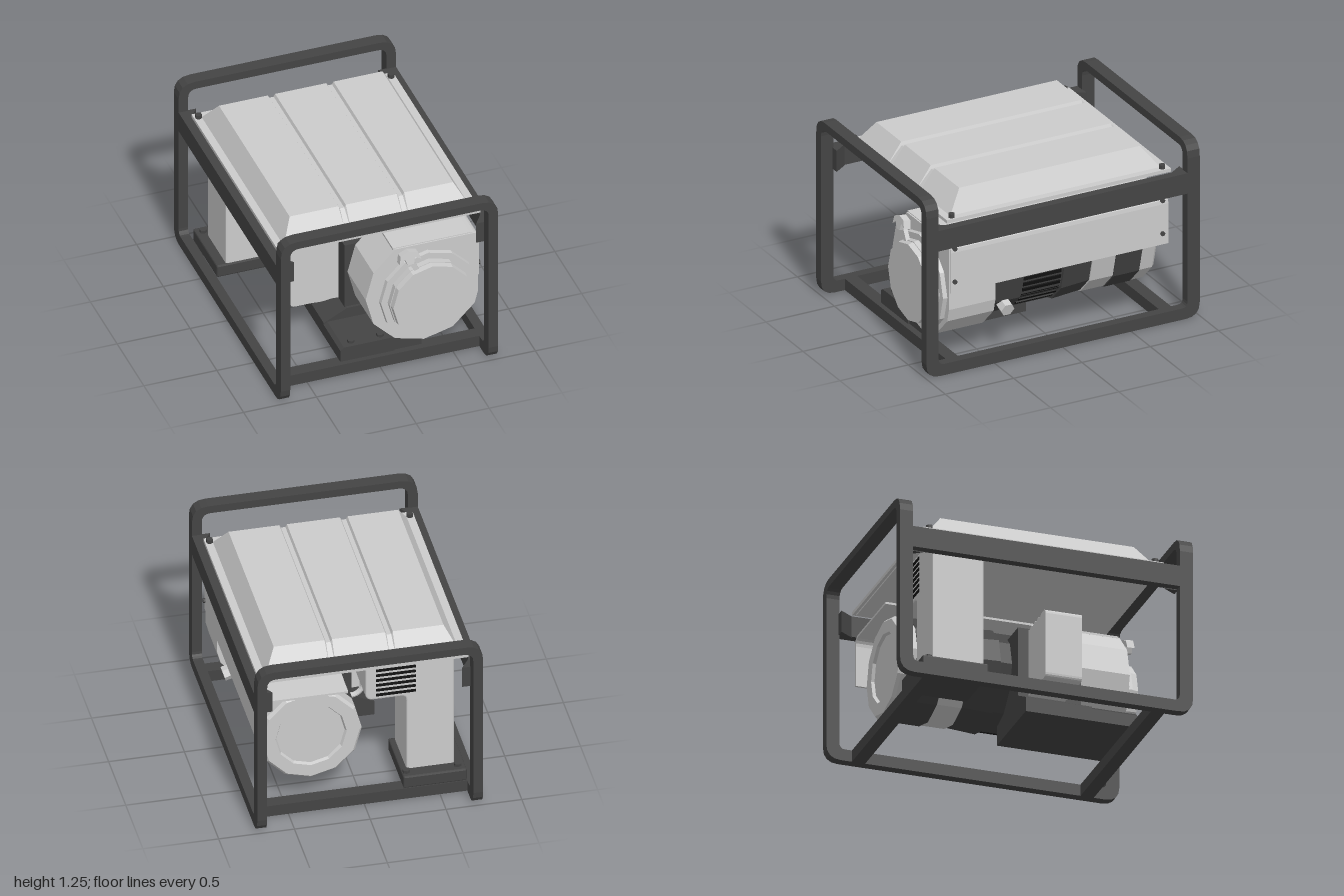
import * as THREE from 'three';
import { RoundedBoxGeometry } from 'three/addons/geometries/RoundedBoxGeometry.js';

const mat = (color) => new THREE.MeshStandardMaterial({ color, flatShading: true, side: THREE.DoubleSide });

export function createModel() {
  const model = new THREE.Group();
  const grey = mat(0xcccccc), dark = mat(0x444444), black = mat(0x111111);

  const add = (name, geo, material, x = 0, y = 0, z = 0) => {
    const mesh = new THREE.Mesh(geo, material);
    mesh.name = name;
    mesh.position.set(x, y, z);
    model.add(mesh);
    return mesh;
  };
  // Box given by its limits on each axis
  const box = (name, material, x0, x1, y0, y1, z0, z1) =>
    add(name, new THREE.BoxGeometry(x1 - x0, y1 - y0, z1 - z0), material, (x0 + x1) / 2, (y0 + y1) / 2, (z0 + z1) / 2);
  // Polygon whose corners [x, y, radius] may be rounded
  const poly = (pts) => {
    const s = new THREE.Shape();
    pts.forEach(([x, y, r = 0], i) => {
      const p = new THREE.Vector2(x, y);
      const toward = (q) => new THREE.Vector2(q[0], q[1]).sub(p).setLength(r).add(p);
      const a = toward(pts[(i + pts.length - 1) % pts.length]);
      const b = toward(pts[(i + 1) % pts.length]);
      if (i === 0) s.moveTo(a.x, a.y); else s.lineTo(a.x, a.y);
      if (r) s.quadraticCurveTo(x, y, b.x, b.y);
    });
    s.closePath();
    return s;
  };
  const slab = (pts, depth, curveSegments = 4) =>
    new THREE.ExtrudeGeometry(poly(pts), { depth, bevelEnabled: false, curveSegments });
  // Twelve-sided drum along z, with a corner at the bottom
  const drum = (name, material, x, y, z0, z1, r0, r1 = r0) => {
    const g = new THREE.CylinderGeometry(r1, r0, z1 - z0, 12);
    g.rotateX(Math.PI / 2);
    return add(name, g, material, x, y, (z0 + z1) / 2);
  };
  const bolt = (name, x, y, z, axis = 'y', r = 0.02, h = 0.025, material = dark) => {
    const m = add(name, new THREE.CylinderGeometry(r, r, h, 6), material, x, y, z);
    if (axis === 'x') m.rotation.z = Math.PI / 2;
    return m;
  };

  // Tubular frame: end hoops and side runners
  const hoop = slab([[-0.745, 0.1], [-0.745, 1.25, 0.11], [0.745, 1.25, 0.11], [0.745, 0.1],
    [0.68, 0.1], [0.68, 1.195, 0.06], [-0.68, 1.195, 0.06], [-0.68, 0.1]], 0.09);
  add('frontHoop', hoop, dark, 0, 0, 0.91);
  add('backHoop', hoop, dark, 0, 0, -1);
  const runner = slab([[-1, 0.15], [-1, 0, 0.1], [1, 0, 0.1], [1, 0.15],
    [0.91, 0.15], [0.91, 0.08, 0.04], [-0.91, 0.08, 0.04], [-0.91, 0.15]], 0.065);
  runner.rotateY(-Math.PI / 2);
  for (const s of [-1, 1]) {
    add('sideRunner', runner, dark, s > 0 ? 0.745 : -0.68);
    box('upperRail', dark, s * 0.715 - 0.03, s * 0.715 + 0.03, 0.89, 1.035, -0.92, 0.92);
    box('crossBar', dark, -0.69, 0.69, 0, 0.08, s * 0.78 - 0.045, s * 0.78 + 0.045);
    for (const t of [-1, 1]) {
      const gusset = slab([[s * 0.69, t * 0.82], [s * 0.69, t * 0.915], [s * 0.625, t * 0.915]], 0.15);
      gusset.rotateX(Math.PI / 2);
      add('gusset', gusset, dark, 0, 1.035, 0);
      bolt('tankBolt', s * 0.66, 1.08, t * 0.77, 'y', 0.023, 0.03);
    }
  }

  // Fuel tank: flange plate and sloped top with two grooves
  box('tankFlangeLower', grey, -0.67, 0.67, 1.035, 1.05, -0.8, 0.8);
  box('tankFlange', grey, -0.69, 0.69, 1.045, 1.068, -0.82, 0.82);
  const across = [[-0.56, 1.21], [-0.225, 1.21], [-0.215, 1.19], [-0.185, 1.19], [-0.175, 1.21],
    [0.175, 1.21], [0.185, 1.19], [0.215, 1.19], [0.225, 1.21], [0.56, 1.21]];
  const rows = [0.77, 0.66, -0.66, -0.77].map((z, i) => {
    const low = i === 0 || i === 3;
    const mid = across.map(([x, y]) => [low && Math.abs(x) > 0.5 ? Math.sign(x) * 0.64 : x, low ? 1.066 : y, z]);
    return [[-0.64, 1.066, z], ...mid, [0.64, 1.066, z]];
  });
  const verts = [];
  for (let i = 0; i < 3; i++) for (let j = 0; j < 11; j++) {
    const a = rows[i][j], b = rows[i][j + 1], c = rows[i + 1][j + 1], d = rows[i + 1][j];
    verts.push(...a, ...b, ...d, ...b, ...c, ...d);
  }
  const tankGeo = new THREE.BufferGeometry();
  tankGeo.setAttribute('position', new THREE.Float32BufferAttribute(verts, 3));
  tankGeo.computeVertexNormals();
  add('tankTop', tankGeo, grey);

  // Fan housing: twelve-sided scroll squared off at the upper outside
  const scroll = [[0.68, 0.42], [0.68, 0.88, 0.03], [0.11, 0.88]];
  for (let k = 5; k <= 11; k++) {
    const a = k * Math.PI / 6;
    scroll.push([0.31 + 0.4 * Math.cos(a), 0.53 + 0.4 * Math.sin(a)]);
  }
  add('fanHousing', slab(scroll, 0.34), grey, 0, 0, 0.46);
  drum('starterRing', grey, 0.33, 0.497, 0.79, 0.83, 0.33, 0.325);
  drum('starterCap', grey, 0.33, 0.497, 0.82, 0.87, 0.28);
  drum('starterFace', grey, 0.33, 0.497, 0.87, 0.91, 0.275, 0.27);

  // Pull starter grip and its stem
  const grip = add('starterGrip', slab([[-0.075, -0.01], [-0.06, 0.045], [0, 0.065], [0.06, 0.045], [0.075, -0.01],
    [0.035, 0.015], [0.02, -0.03], [-0.02, -0.03], [-0.035, 0.015]], 0.05), grey, 0.18, 0.835, 0.85);
  grip.rotation.z = 0.4 - 0.3;
  grip.rotation.x = -0.15;
  const stem = add('gripStem', new THREE.BoxGeometry(0.035, 0.14, 0.03), grey, 0.215, 0.775, 0.865);
  stem.rotation.z = 0.5;

  // Side cover: bent sheet running the length of the machine
  add('sideCover', slab([[0.69, 0.54], [0.69, 0.885, 0.06], [0.1, 0.885], [0.1, 0.87],
    [0.675, 0.87, 0.05], [0.675, 0.54]], 1.59), grey, 0, 0, -0.8);
  for (const y of [0.62, 0.855]) for (const z of [0.765, -0.755]) bolt('coverBolt', 0.695, y, z, 'x', 0.016, 0.02);

  // Alternator body in bands
  const cx = 0.33, cy = 0.53;
  drum('crankcaseDrum', dark, cx, cy, 0.25, 0.46, 0.335);
  drum('ventedDrum', dark, cx, cy, -0.05, 0.25, 0.325);
  drum('rearBell', dark, cx, cy, -0.27, -0.05, 0.325, 0.34);
  drum('statorBand', grey, cx, cy, -0.44, -0.26, 0.335);
  drum('darkBand', dark, cx, cy, -0.62, -0.43, 0.342);
  // End cap, turned with a recessed centre
  const capGeo = new THREE.LatheGeometry([[0, 0.02], [0.225, 0.02], [0.235, 0], [0.32, 0], [0.338, 0.02], [0.338, 0.12]]
    .map(([r, h]) => new THREE.Vector2(r, h)), 12);
  capGeo.rotateX(Math.PI / 2);
  add('endCap', capGeo, grey, cx, cy, -0.735);
  for (let i = 0; i < 7; i++) {
    const a = Math.asin((0.225 + i * 0.046 - cy) / 0.335);
    const slot = add('drumSlot', new THREE.BoxGeometry(0.02, 0.024, 0.275), black,
      cx + 0.314 * Math.cos(a), cy + 0.314 * Math.sin(a), 0.098);
    slot.rotation.z = a;
  }
  const plug = bolt('oilPlug', 0.63, 0.325, 0.36, 'x', 0.048, 0.07, grey);
  plug.rotation.z = Math.PI / 2 - 0.3;

  // Crankcase, sump and front foot
  box('crankcase', dark, -0.11, 0.3, 0.2, 0.74, 0.03, 0.46);
  add('sump', slab([[-0.26, 0.08], [0.3, 0.08], [0.3, 0.2], [0.2, 0.26], [-0.1, 0.26], [-0.26, 0.18]], 0.45), dark, 0, 0, 0.03);
  add('sumpSkirt', slab([[-0.1, 0.08], [0.3, 0.08], [0.3, 0.14], [0.1, 0.18], [-0.1, 0.18]], 0.34), dark, 0, 0, 0.44);
  add('frontFoot', slab([[-0.26, 0.08], [-0.26, 0.165], [-0.235, 0.185], [0.085, 0.185], [0.11, 0.165], [0.11, 0.08]], 0.42),
    dark, 0, 0, 0.37);
  for (const x of [-0.17, 0.03]) bolt('footBolt', x, 0.19, 0.74, 'y', 0.025);

  // Cylinder head with a scalloped top
  const head = [[-0.1, 0.26], [-0.16, 0.265, 0.02], [-0.22, 0.255, 0.02], [-0.3, 0.26], [-0.44, 0.26, 0.03], [-0.44, 0.74, 0.03]];
  for (let i = 0; i < 4; i++) head.push([-0.36 + i * 0.065, 0.74], [-0.3275 + i * 0.065, 0.715, 0.025]);
  head.push([-0.1, 0.74]);
  add('cylinderHead', slab(head, 0.25), grey, 0, 0, 0.1);

  // Rear column: leg with an arm under the tank, vented front and back
  add('column', new THREE.ExtrudeGeometry(poly([[-0.605, 0.16], [-0.605, 1.03], [-0.04, 1.03], [-0.04, 0.75, 0.04],
    [-0.31, 0.75, 0.05], [-0.31, 0.16]]), { depth: 0.33, bevelThickness: 0.01, bevelSize: 0.01, bevelSegments: 2, curveSegments: 4 }),
  grey, 0, 0, -0.72);
  for (let i = 0; i < 7; i++) {
    const y = 0.777 + i * 0.038;
    for (const z of [-0.378, -0.732]) box('ventSlot', black, -0.36, -0.1, y - 0.009, y + 0.009, z - 0.004, z + 0.004);
  }
  const pipe = new THREE.CatmullRomCurve3([[-0.06, 0.76, -0.5], [-0.055, 0.68, -0.5], [-0.01, 0.64, -0.5], [0.06, 0.64, -0.5]]
    .map((p) => new THREE.Vector3(...p)));
  add('cablePipe', new THREE.TubeGeometry(pipe, 10, 0.018, 8), grey);

  // Rear mount under the column
  add('rearMount', new RoundedBoxGeometry(0.42, 0.09, 0.45, 1, 0.01), dark, -0.47, 0.122, -0.595);
  for (const x of [-0.63, -0.29]) bolt('mountBolt', x, 0.175, -0.765, 'y', 0.025);

  return model;
}
